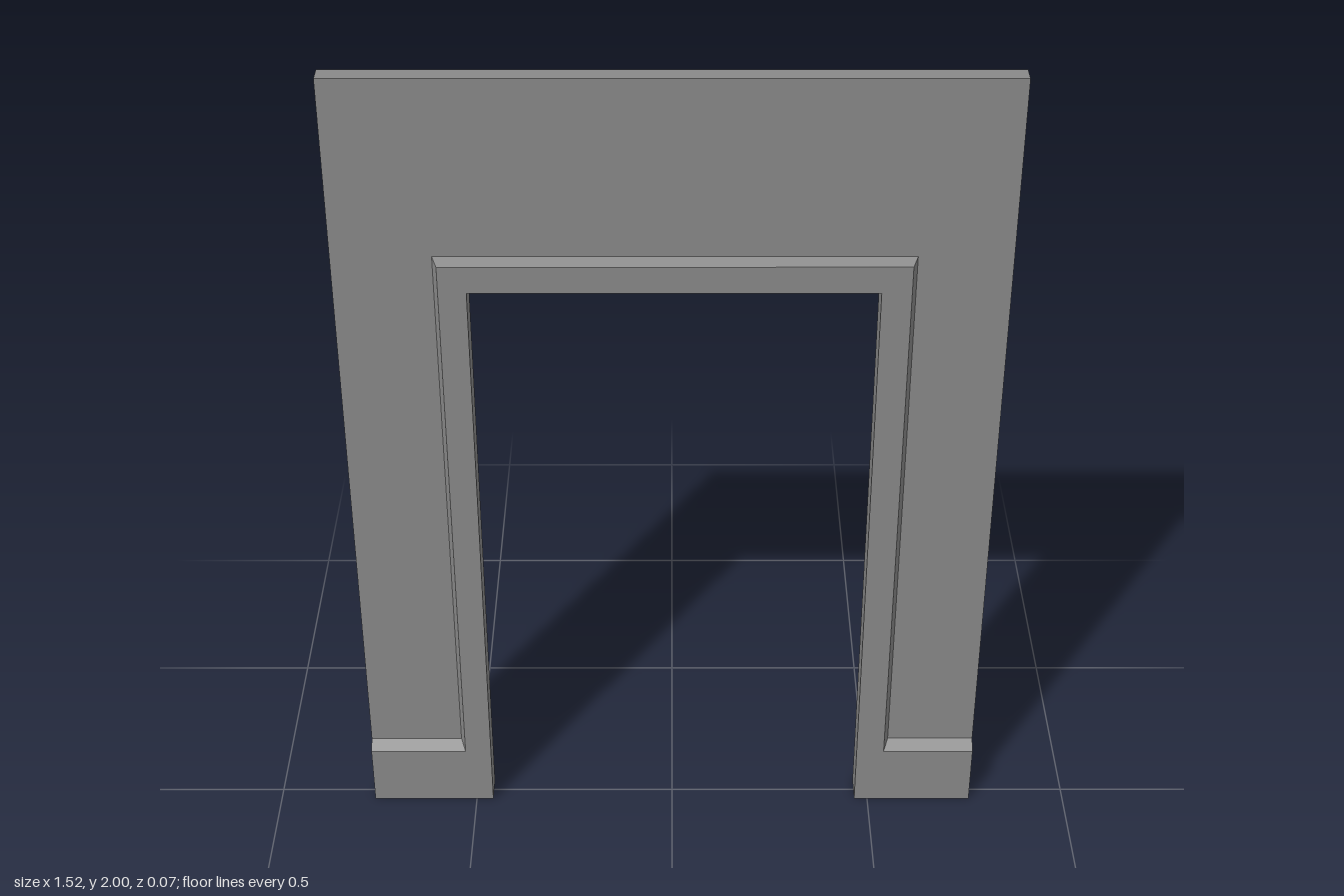
import * as THREE from 'three';

const BACK = -0.035, WALL = 0.01, FRONT = 0.035;
const X = 0.76, L = -0.458, R = 0.467, OPEN_TOP = 1.49;
const TRIM_L = -0.533, TRIM_R = 0.546, TRIM_TOP = 1.57, SKIRT = 0.18;

// Flat slab from an outline, running from z0 to z1
function slab(name, points, z0, z1) {
  const shape = new THREE.Shape(points.map(([x, y]) => new THREE.Vector2(x, y)));
  const geo = new THREE.ExtrudeGeometry(shape, { depth: z1 - z0, bevelEnabled: false });
  geo.translate(0, 0, z0);
  const mesh = new THREE.Mesh(geo, new THREE.MeshStandardMaterial({ color: 0x888888, flatShading: true }));
  mesh.name = name;
  return mesh;
}

export function createModel() {
  const group = new THREE.Group();
  group.name = 'doorwayWall';

  // Edge of the doorway, shared by wall and trim
  const opening = [[R, 0], [R, OPEN_TOP], [L, OPEN_TOP], [L, 0]];

  // Wall panel with the doorway cut out
  group.add(slab('wallPanel', [[-X, 0], [-X, 2], [X, 2], [X, 0], ...opening], BACK, WALL));

  // Door frame and skirting in one raised moulding
  const trim = slab('frameAndSkirting', [
    [-X, 0], [-X, SKIRT], [TRIM_L, SKIRT], [TRIM_L, TRIM_TOP],
    [TRIM_R, TRIM_TOP], [TRIM_R, SKIRT], [X, SKIRT], [X, 0], ...opening,
  ], WALL, FRONT);

  // Pull in the front outer edge to make the sloped lip
  const pos = trim.geometry.attributes.position;
  const near = (a, b) => Math.abs(a - b) < 1e-4;
  for (let i = 0; i < pos.count; i++) {
    if (!near(pos.getZ(i), FRONT)) continue;
    const x = pos.getX(i), y = pos.getY(i);
    if (near(x, TRIM_L)) pos.setX(i, x + 0.011);
    if (near(x, TRIM_R)) pos.setX(i, x - 0.011);
    if (near(y, TRIM_TOP)) pos.setY(i, y - 0.013);
    if (near(y, SKIRT)) pos.setY(i, y - 0.022);
  }
  trim.geometry.computeVertexNormals();
  group.add(trim);

  return group;
}
